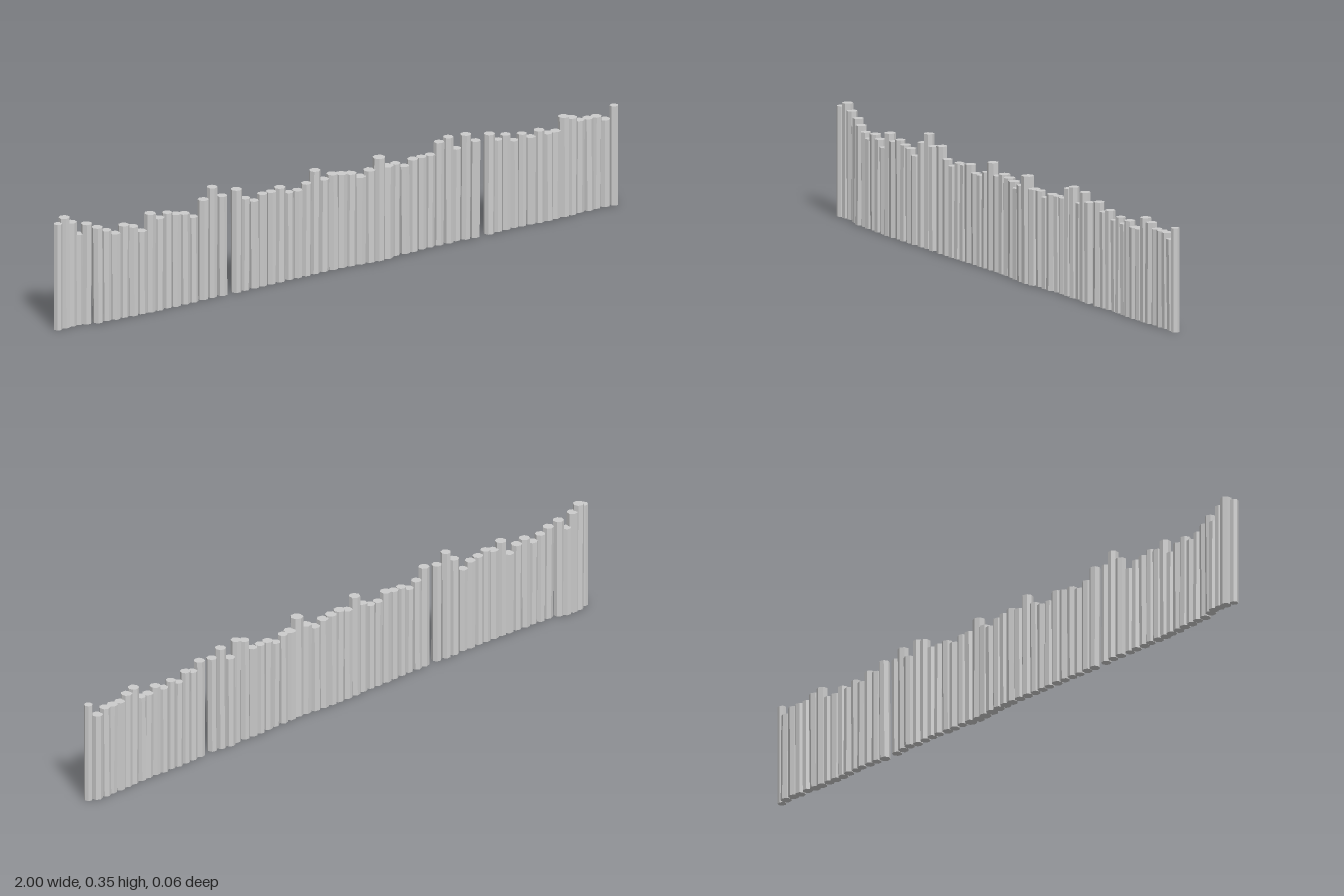
import * as THREE from 'three';

// Runs of posts between gaps: first x, last x, heights in hundredths
const runs = [
  [-0.987, -0.987, [34]],
  [-0.96, -0.885, [35.3, 33.3, 29, 32]],
  [-0.853, -0.518, [30.5, 29, 27.5, 29.5, 28.5, 26.5, 31.5, 29.5, 30.5, 29.5, 29, 27.3]],
  [-0.48, -0.415, [32, 35.3, 32]],
  [-0.364, 0.49, [33, 29.5, 28, 29.5, 29.5, 30.2, 28, 28, 29.5, 33, 29.5, 30.5, 30, 29.5, 28, 29.5, 33,
    29.5, 29.5, 28, 29.5, 29.5, 29.5, 33, 34, 29.5, 33.5, 31]],
  [0.542, 0.986, [32, 29.5, 30.5, 28, 29.5, 28, 29.5, 28, 28, 32, 31, 29.5, 29.5, 29.5, 28, 32]],
];

// Wandering ground line of the fence: [x, z]
const line = [
  [-1, -0.004], [-0.96, -0.015], [-0.91, -0.016], [-0.85, 0.002], [-0.65, 0.009], [-0.5, 0.007],
  [-0.45, 0.004], [-0.4, 0.01], [-0.25, 0.003], [-0.1, 0], [-0.02, -0.004], [0.06, 0], [0.14, 0.009],
  [0.21, 0], [0.35, -0.006], [0.39, -0.002], [0.43, -0.011], [0.48, 0], [0.55, -0.005], [0.65, -0.01],
  [0.71, -0.006], [0.8, -0.008], [0.88, -0.015], [0.96, -0.013], [1, -0.003],
];

function lineZ(x) {
  const i = Math.max(1, line.findIndex((p) => p[0] >= x));
  const [x0, z0] = line[i - 1], [x1, z1] = line[i];
  return z0 + (z1 - z0) * (x - x0) / (x1 - x0);
}

// Small seeded generator
function seeded(seed) {
  return () => (seed = (seed * 16807) % 2147483647) / 2147483647;
}

// Seven-sided log with its foot shifted a little for a slight lean
function makePost(radius, height, turn, leanX, leanZ) {
  const geo = new THREE.CylinderGeometry(radius, radius * 0.97, height, 7);
  geo.rotateY(turn).translate(0, height / 2, 0);
  const p = geo.attributes.position;
  for (let i = 0; i < p.count; i++) {
    if (p.getY(i) < height / 2) p.setXYZ(i, p.getX(i) + leanX, 0, p.getZ(i) + leanZ);
  }
  geo.computeVertexNormals();
  return geo;
}

export function createModel() {
  const model = new THREE.Group();
  model.name = 'palisade';
  const material = new THREE.MeshStandardMaterial({ color: 0xcccccc, flatShading: true });
  const random = seeded(4127);

  runs.forEach(([from, to, heights], r) => {
    const section = new THREE.Group();
    section.name = `fenceSection${r + 1}`;
    heights.forEach((h, i) => {
      const x = heights.length > 1 ? from + (to - from) * i / (heights.length - 1) : from;
      // Thicker logs stand near the middle
      const thick = x > -0.1 && x < 0.2 ? 0.0175 : 0.0155;
      const radius = Math.abs(x) > 0.97 ? 0.0135 : thick + random() * 0.0025;
      const lean = () => Math.abs(x) > 0.97 ? 0 : (random() - 0.5) * 0.004;
      const post = new THREE.Mesh(makePost(radius, h / 100, random() * 6.28, lean(), lean()), material);
      post.name = 'post';
      post.position.set(x, 0, lineZ(x));
      section.add(post);
    });
    model.add(section);
  });
  return model;
}
